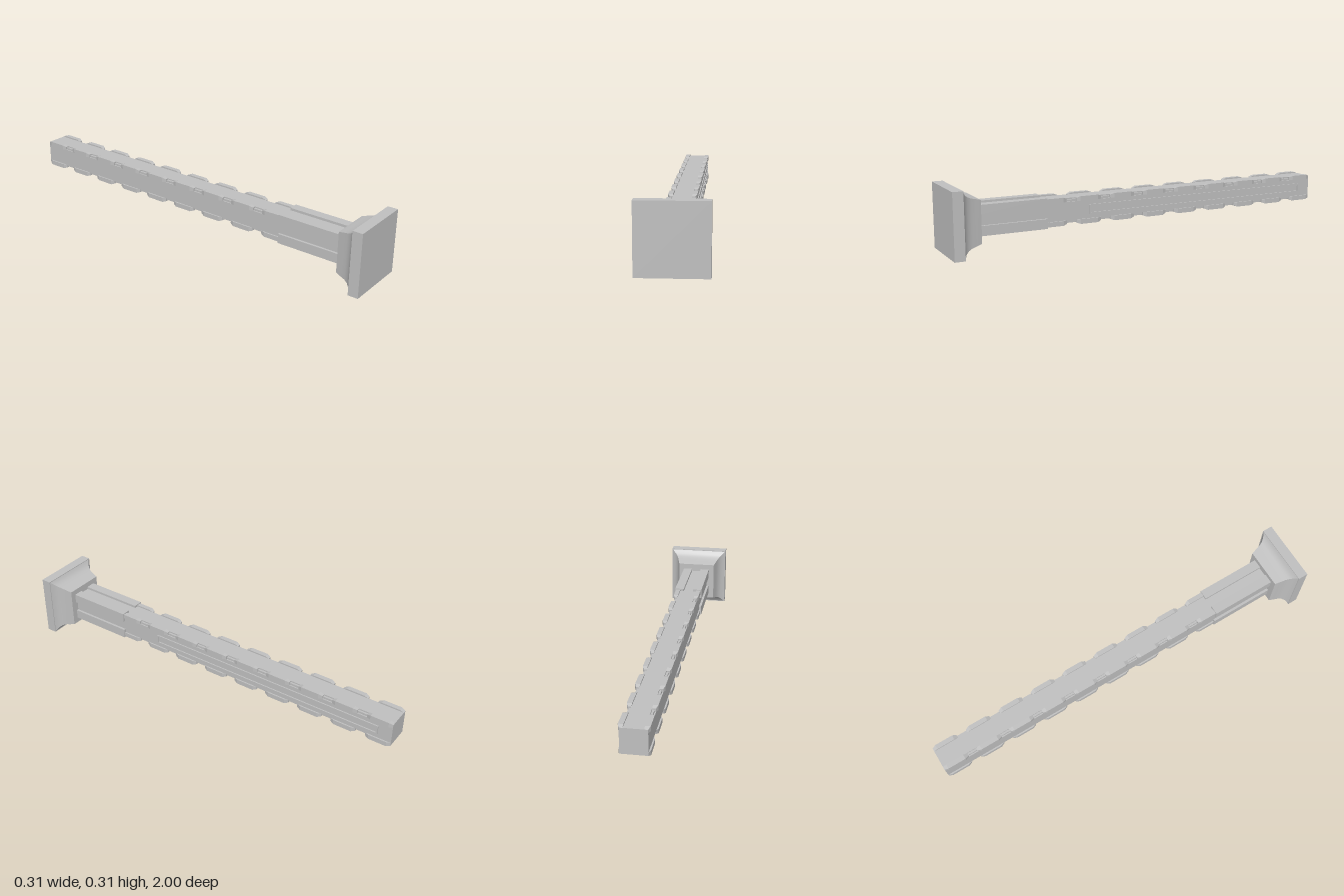
import * as THREE from 'three';
import { toCreasedNormals } from 'three/addons/utils/BufferGeometryUtils.js';

const AXIS_Y = 0.156;
const CORNERS = [[1, 1], [-1, 1], [-1, -1], [1, -1]];

export function createModel() {
  const grey = new THREE.MeshStandardMaterial({ color: 0xbfbfbf });
  grey.name = 'stoneGrey';
  const model = new THREE.Group();
  const pillar = new THREE.Group();
  pillar.name = 'pillar';
  pillar.position.y = AXIS_Y;
  model.add(pillar);

  function add(name, geometry, x = 0, y = 0, z = 0) {
    const mesh = new THREE.Mesh(geometry, grey);
    mesh.name = name;
    mesh.position.set(x, y, z);
    pillar.add(mesh);
    return mesh;
  }

  // Square base plate
  add('basePlate', new THREE.BoxGeometry(0.312, 0.312, 0.05), 0, 0, 0.975);

  // Four-sided cove between plate and pillar: half width, z
  const cove = [[0, 0.855], [0.1, 0.855], [0.107, 0.88], [0.113, 0.905], [0.121, 0.923],
    [0.133, 0.938], [0.147, 0.947], [0.154, 0.951]];
  const coveGeo = new THREE.LatheGeometry(
    cove.map(([r, z]) => new THREE.Vector2(r * Math.SQRT2, z)), 4);
  coveGeo.rotateY(Math.PI / 4);
  coveGeo.rotateX(Math.PI / 2);
  add('baseCove', toCreasedNormals(coveGeo, 0.6));

  // Shaft: square section with slightly rebated corners
  const quarter = [[0.06, 0.044], [0.054, 0.044], [0.054, 0.054], [0.044, 0.054], [0.044, 0.06]];
  const outline = [];
  for (let q = 0; q < 4; q++) {
    for (const [x, y] of quarter) {
      outline.push(new THREE.Vector2(x, y).rotateAround(new THREE.Vector2(), q * Math.PI / 2));
    }
  }
  add('shaft', new THREE.ExtrudeGeometry(new THREE.Shape(outline),
    { depth: 1.86, bevelEnabled: false }), 0, 0, -1);

  // Thick bars on the corners next to the base
  for (const [sx, sy] of CORNERS) {
    add('cornerBar', new THREE.BoxGeometry(0.047, 0.047, 0.335), sx * 0.0485, sy * 0.0485, 0.6925);
  }

  // Corner blocks whose ends slope down to the shaft
  const inner = 0.044, low = 0.06, high = 0.067;
  const block = new THREE.BoxGeometry(1, 1, 3, 1, 1, 3);
  const p = block.attributes.position;
  for (let i = 0; i < p.count; i++) {
    const atEnd = Math.abs(p.getZ(i)) > 1;
    const outer = (atEnd ? low : high);
    p.setXYZ(i, p.getX(i) > 0 ? outer : inner, p.getY(i) > 0 ? outer : inner,
      Math.sign(p.getZ(i)) * (atEnd ? 0.064 : 0.045));
  }
  const blockGeo = block.toNonIndexed();
  blockGeo.computeVertexNormals();
  for (let row = 0; row < 9; row++) {
    for (let q = 0; q < 4; q++) {
      add('cornerBlock', blockGeo, 0, 0, 0.488 - row * 0.178).rotation.z = q * Math.PI / 2;
    }
  }

  // Long raised frame on the +x side
  const rect = (Type, hw, hh) => new Type([[-hw, -hh], [hw, -hh], [hw, hh], [-hw, hh]]
    .map(([x, y]) => new THREE.Vector2(x, y)));
  const frame = rect(THREE.Shape, 0.621, 0.023);
  frame.holes.push(rect(THREE.Path, 0.614, 0.016));
  const frameGeo = new THREE.ExtrudeGeometry(frame, { depth: 0.008, bevelEnabled: false });
  frameGeo.rotateY(Math.PI / 2);
  add('sideFrame', frameGeo, 0.058, 0, -0.311);

  return model;
}
